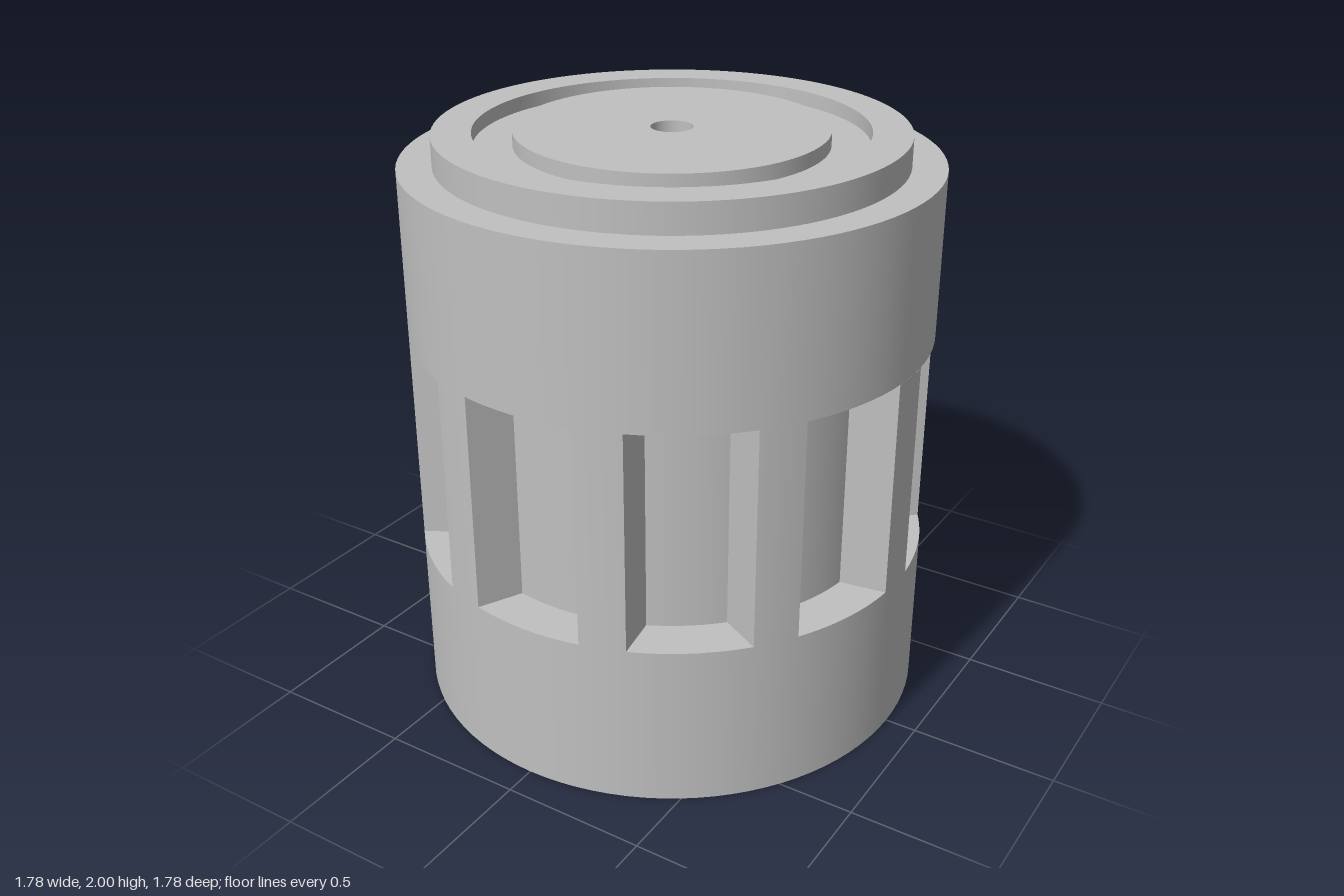
import * as THREE from 'three';
import { mergeGeometries, toCreasedNormals } from 'three/addons/utils/BufferGeometryUtils.js';

const SEGMENTS = 96;
const OUTER = 0.89, BORE = 0.13, SLOT_FLOOR = 0.735;
const SLOT_BOTTOM = 0.57, SLOT_TOP = 1.33;
const SLOTS = 10;

// Closed turned solid with a sharp edge at every profile corner
function turned(profile) {
  const rings = profile.map(([r, y], i) => {
    const [r2, y2] = profile[(i + 1) % profile.length];
    return new THREE.LatheGeometry([new THREE.Vector2(r, y), new THREE.Vector2(r2, y2)], SEGMENTS);
  });
  return mergeGeometries(rings);
}

// Middle cross-section: ribs on the outer circle, tapered slots down to the floor circle
function slottedSection() {
  const step = (Math.PI * 2) / SLOTS;
  const outerHalf = Math.asin(0.2 / OUTER);
  const floorHalf = Math.asin(0.13 / SLOT_FLOOR);
  const shape = new THREE.Shape();
  for (let i = 0; i < SLOTS; i++) {
    const a = -Math.PI / 2 + i * step;
    // each arc is joined to the previous one by a straight slot wall
    shape.absarc(0, 0, SLOT_FLOOR, a - floorHalf, a + floorHalf, false);
    shape.absarc(0, 0, OUTER, a + outerHalf, a + step - outerHalf, false);
  }
  shape.closePath();
  const hole = new THREE.Path();
  hole.absarc(0, 0, BORE, 0, Math.PI * 2, true);
  shape.holes.push(hole);
  const geometry = new THREE.ExtrudeGeometry(shape, {
    depth: SLOT_TOP - SLOT_BOTTOM, bevelEnabled: false, curveSegments: 12,
  });
  geometry.rotateX(-Math.PI / 2);
  geometry.translate(0, SLOT_BOTTOM, 0);
  return toCreasedNormals(geometry, 0.6);
}

export function createModel() {
  const model = new THREE.Group();
  model.name = 'slottedHub';
  const metal = new THREE.MeshStandardMaterial({ color: 0xc0c0c0 });
  metal.name = 'greyMetal';
  const add = (name, geometry) => {
    const mesh = new THREE.Mesh(geometry, metal);
    mesh.name = name;
    model.add(mesh);
  };

  // Lower collar with the wide bore
  add('lowerCollar', turned([
    [BORE, 0], [OUTER, 0], [OUTER, SLOT_BOTTOM], [BORE, SLOT_BOTTOM],
  ]));

  // Ribs and slots between the collars
  add('slottedMiddle', slottedSection());

  // Upper collar with raised rim, ring groove, centre disc and narrow bore
  add('upperCollar', turned([
    [0.07, SLOT_TOP], [OUTER, SLOT_TOP], [OUTER, 1.9], [0.775, 1.9], [0.775, 2],
    [0.645, 2], [0.645, 1.95], [0.515, 1.95], [0.515, 2], [0.07, 2],
  ]));

  return model;
}
